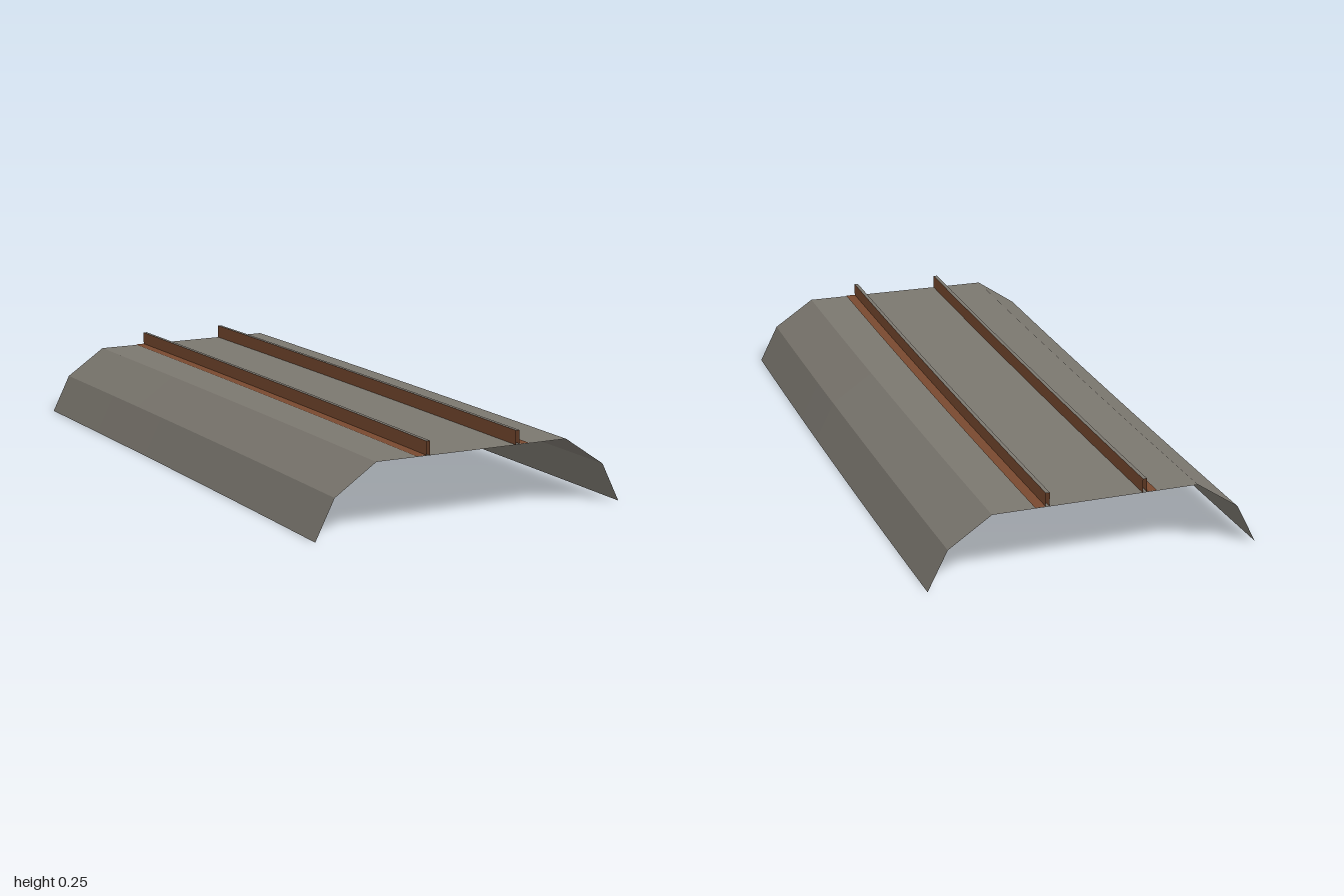
import * as THREE from 'three';

// gentle bend followed by every part, from the front end to the back end
const RADIUS = 80, LENGTH = 1.987, STEPS = 10, FRONT_X = 0.0115;

function along(u, y, t) {
  const a = (LENGTH * t) / RADIUS;
  return [
    FRONT_X - RADIUS * (1 - Math.cos(a)) + u * Math.cos(a),
    y,
    1 - RADIUS * Math.sin(a) - u * Math.sin(a),
  ];
}

// sweep an open [across, height] profile, listed left to right, along the bend
function sweep(name, profile, material) {
  const pos = [];
  for (let s = 0; s < STEPS; s++) {
    for (let i = 0; i < profile.length - 1; i++) {
      const [p, q] = [profile[i], profile[i + 1]];
      const a = along(...p, s / STEPS), b = along(...q, s / STEPS);
      const c = along(...q, (s + 1) / STEPS), d = along(...p, (s + 1) / STEPS);
      pos.push(...a, ...b, ...c, ...a, ...c, ...d);
    }
  }
  const geo = new THREE.BufferGeometry();
  geo.setAttribute('position', new THREE.Float32BufferAttribute(pos, 3));
  geo.computeVertexNormals();
  const mesh = new THREE.Mesh(geo, material);
  mesh.name = name;
  return mesh;
}

export function createModel() {
  const gravel = new THREE.MeshStandardMaterial({ color: 0x7b776f, side: THREE.DoubleSide });
  gravel.name = 'gravel grey';
  const rust = new THREE.MeshStandardMaterial({ color: 0x78492f, side: THREE.DoubleSide });
  rust.name = 'rust brown';

  const model = new THREE.Group();
  model.name = 'trackSection';

  // raised bed: steep foot, sloping shoulder, flat top
  const half = [[-0.511, 0], [-0.45, 0.121], [-0.318, 0.21]];
  const mirrored = half.map(([u, y]) => [-u, y]).reverse();
  model.add(sweep('trackBed', [...half, ...mirrored], gravel));

  // rails: outer foot strip, two thin upright walls and a worn top
  const foot = 0.212, head = 0.253, inner = 0.144, outer = 0.156, edge = 0.188;
  for (const side of [-1, 1]) {
    const rail = new THREE.Group();
    rail.name = side < 0 ? 'rightRail' : 'leftRail';
    const place = (pts) => {
      const out = pts.map(([u, y]) => [side * u, y]);
      return side > 0 ? out.reverse() : out;
    };
    rail.add(
      sweep('railFoot', place([[edge, foot], [outer, foot], [outer, head]]), rust),
      sweep('railInnerWall', place([[inner, head], [inner, 0.21]]), rust),
      sweep('railTop', place([[outer, head], [inner, head]]), gravel),
    );
    model.add(rail);
  }
  return model;
}
